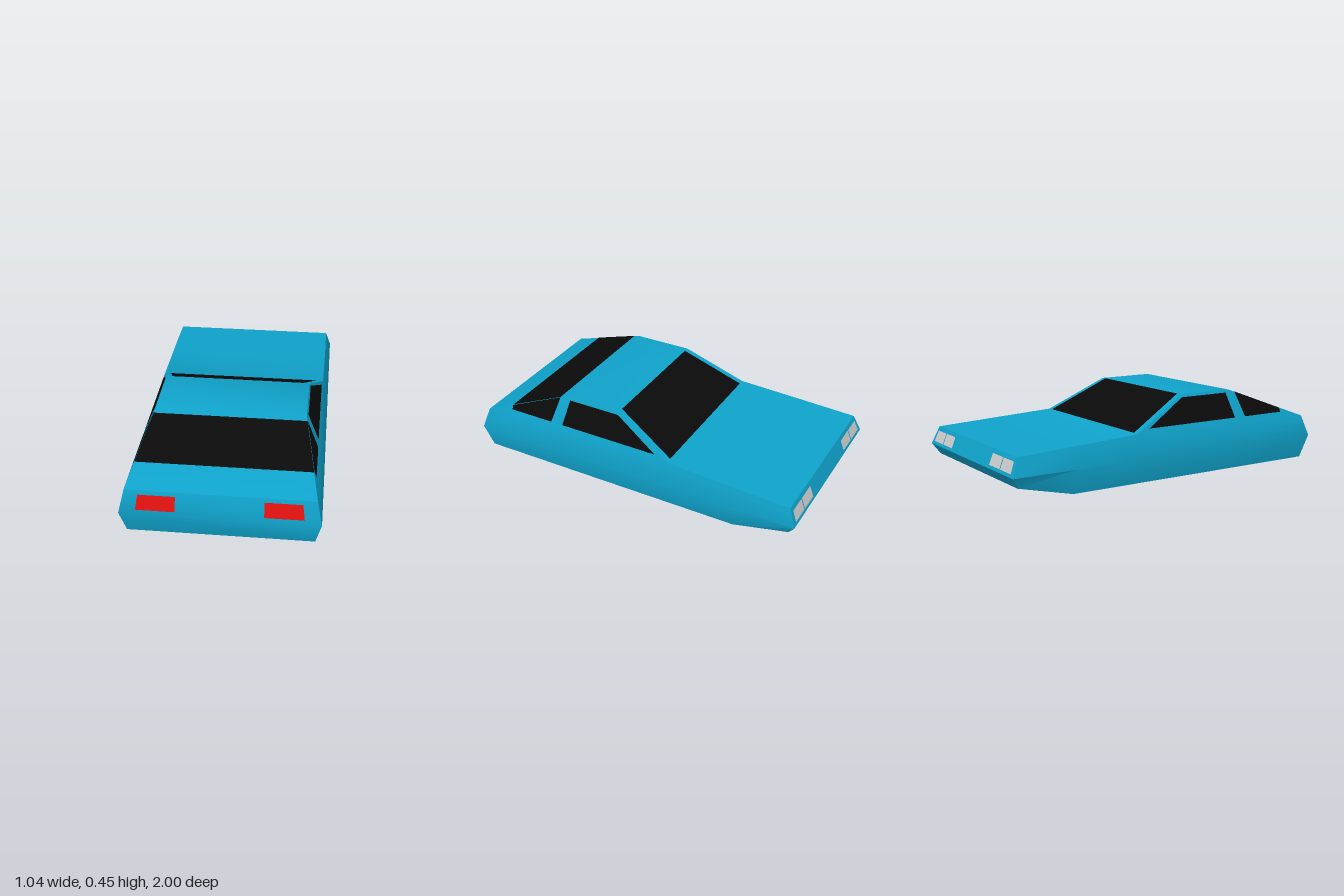
import * as THREE from 'three';
import { toCreasedNormals } from 'three/addons/utils/BufferGeometryUtils.js';

const paint = new THREE.MeshStandardMaterial({ color: 0x0fa2ca });
const glass = new THREE.MeshStandardMaterial({ color: 0x0a0a0a });
const red = new THREE.MeshStandardMaterial({ color: 0xe01010 });
const lamp = new THREE.MeshStandardMaterial({ color: 0xcccccc });

// Half width of the sloping cabin sides at height y
const sideX = (y) => 0.49 - (y - 0.262) * 0.437;

function meshFrom(name, triangles, material) {
  const geometry = new THREE.BufferGeometry().setFromPoints(triangles);
  geometry.computeVertexNormals();
  const mesh = new THREE.Mesh(toCreasedNormals(geometry, 0.65), material);
  mesh.name = name;
  return mesh;
}

// Thin quad lifted slightly off the body, turned to face outwards
function panel(name, corners, material) {
  let p = corners.map((c) => new THREE.Vector3(...c));
  const plane = new THREE.Plane().setFromCoplanarPoints(p[0], p[1], p[2]);
  const out = p[0].clone().add(p[2]).multiplyScalar(0.5).sub(new THREE.Vector3(0, 0.2, 0));
  if (plane.normal.dot(out) < 0) {
    p = p.reverse();
    plane.normal.negate();
  }
  p.forEach((v) => v.addScaledVector(plane.normal, 0.002));
  return meshFrom(name, [p[0], p[1], p[2], p[0], p[2], p[3]], material);
}

// Body skin: half sections of sill, belt, shoulder and roof, mirrored into rings
function body() {
  const section = (z, sillY, shoulder, roof = shoulder, sillZ = z, beltZ = z) => {
    const half = [[0.49, sillY, sillZ], [0.52, 0.135, beltZ], [...shoulder, z], [...roof, z]];
    return [...half, ...half.slice().reverse().map(([x, y, w]) => [-x, y, w])]
      .map((c) => new THREE.Vector3(...c));
  };
  const rings = [
    section(0.96, 0, [sideX(0.255), 0.255], undefined, 0.96, 1),
    section(0.455, 0, [sideX(0.261), 0.261], [sideX(0.445), 0.445]),
    section(0.11, 0, [sideX(0.266), 0.266], [sideX(0.445), 0.445]),
    section(-0.235, 0, [sideX(0.27), 0.27]),
    section(-0.64, 0, [0.49, 0.25]),
    section(-0.96, 0.075, [0.49, 0.235], undefined, -0.96, -1),
  ];
  const tris = [];
  const tri = (a, b, c) => {
    if (new THREE.Triangle(a, b, c).getArea() > 1e-7) tris.push(a, b, c);
  };
  for (let i = 0; i < rings.length - 1; i++) {
    const a = rings[i], b = rings[i + 1];
    for (let j = 0; j < 8; j++) {
      const k = (j + 1) % 8;
      tri(a[j], b[j], b[k]);
      tri(a[j], b[k], a[k]);
    }
  }
  // Tail and nose faces
  const tail = rings[0], nose = rings[rings.length - 1];
  for (let j = 0; j < 2; j++) {
    tri(tail[j], tail[j + 1], tail[6 - j]);
    tri(tail[j], tail[6 - j], tail[7 - j]);
    tri(nose[j], nose[6 - j], nose[j + 1]);
    tri(nose[j], nose[7 - j], nose[6 - j]);
  }
  return meshFrom('body', tris, paint);
}

export function createModel() {
  const car = new THREE.Group();
  car.name = 'car';
  car.add(body());

  // Windscreen and rear window
  car.add(panel('windscreen',
    [[-0.45, 0.27, -0.235], [0.45, 0.27, -0.235], [0.375, 0.445, 0.11], [-0.375, 0.445, 0.11]], glass));
  const deckZ = (y) => 0.96 - (y - 0.255) * (0.505 / 0.19);
  const rearCorner = (s, y) => [s * sideX(y), y, deckZ(y)];
  car.add(panel('rearWindow',
    [rearCorner(-1, 0.316), rearCorner(1, 0.316), rearCorner(1, 0.431), rearCorner(-1, 0.431)], glass));

  // Height and depth outlines of the side glass
  const doorGlass = [[0.29, 0.45], [0.43, 0.425], [0.43, 0.11], [0.29, -0.155]];
  const quarterGlass = [[0.29, 0.8], [0.314, 0.8], [0.431, 0.492], [0.29, 0.525]];
  const tailZ = (y) => 1 - (y - 0.135) / 3;
  const noseZ = (y) => -1 + (y - 0.135) * 0.4;

  for (const [side, s] of [['left', 1], ['right', -1]]) {
    const onSide = ([y, z]) => [s * sideX(y), y, z];
    car.add(panel(side + 'DoorWindow', doorGlass.map(onSide), glass));
    car.add(panel(side + 'QuarterWindow', quarterGlass.map(onSide), glass));

    const onTail = ([x, y]) => [s * x, y, tailZ(y)];
    car.add(panel(side + 'TailLight',
      [[0.228, 0.157], [0.433, 0.157], [0.421, 0.234], [0.228, 0.234]].map(onTail), red));

    // Paired headlights
    const onNose = ([x, y]) => [s * x, y, noseZ(y)];
    car.add(panel(side + 'InnerHeadlight',
      [[0.24, 0.152], [0.36, 0.152], [0.357, 0.212], [0.24, 0.212]].map(onNose), lamp));
    car.add(panel(side + 'OuterHeadlight',
      [[0.368, 0.152], [0.486, 0.152], [0.476, 0.212], [0.365, 0.212]].map(onNose), lamp));
  }
  return car;
}
